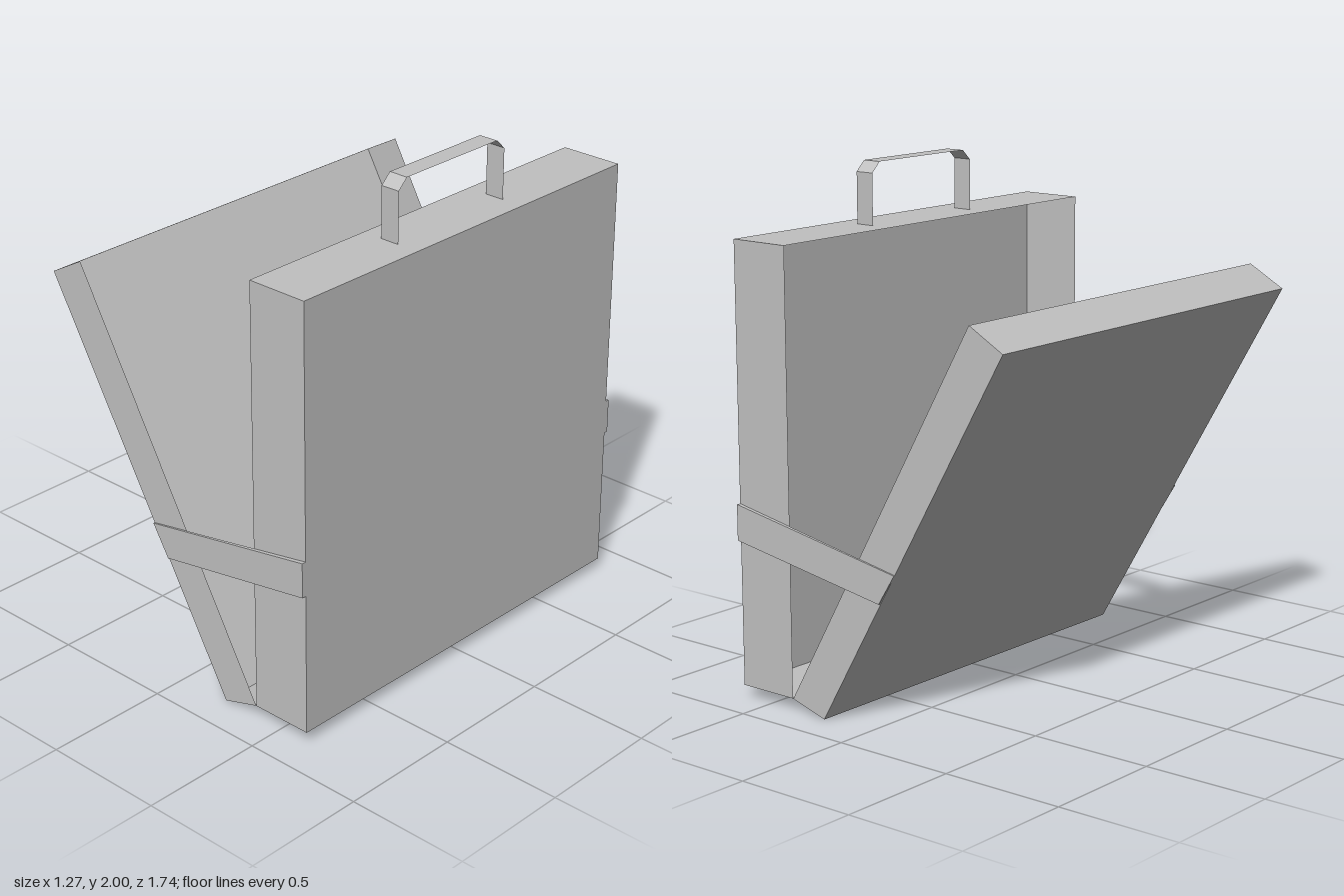
import * as THREE from 'three';

const HALF = 0.855; // half length of the case along z

// Open sheet following a path in xy, swept from -half to +half in z.
// With caps, the (convex) path also gets flat end walls.
function sheet(path, half, caps) {
  const pos = [];
  const quad = (a, b, c, d) => pos.push(...a, ...b, ...c, ...a, ...c, ...d);
  for (let i = 0; i < path.length - 1; i++) {
    const [a, b] = [path[i], path[i + 1]];
    quad([...a, -half], [...b, -half], [...b, half], [...a, half]);
  }
  if (caps) {
    quad(...path.map(p => [...p, half]));
    quad(...path.map(p => [...p, -half]).reverse());
  }
  const geo = new THREE.BufferGeometry();
  geo.setAttribute('position', new THREE.Float32BufferAttribute(pos, 3));
  geo.computeVertexNormals();
  return geo;
}

export function createModel() {
  const group = new THREE.Group();
  const grey = new THREE.MeshStandardMaterial({ color: 0xc0c0c0, side: THREE.DoubleSide });
  grey.name = 'light grey';

  const add = (name, geo) => {
    const mesh = new THREE.Mesh(geo, grey);
    mesh.name = name;
    group.add(mesh);
    return mesh;
  };

  // Upright half of the case, hollow and open towards the lid
  add('caseBody', sheet([[0.38, 0.047], [0.635, 0.047], [0.635, 1.76], [0.38, 1.76]], HALF, true));

  // Tilted lid, hollow and open towards the body
  add('lid', sheet([[-0.49, 1.57], [-0.64, 1.487], [0.22, 0], [0.378, 0.047]], HALF, true));

  // Carrying handle: a thin bent band with chamfered corners
  const handle = sheet([[0.285, 0], [0.285, 0.2], [0.243, 0.24],
    [-0.243, 0.24], [-0.285, 0.2], [-0.285, 0]], 0.04, false);
  handle.rotateY(Math.PI / 2);
  add('handle', handle).position.set(0.505, 1.76, 0);

  // Stay straps on both ends, slightly thicker towards the body
  const outline = [[-0.065, 0.5], [0.635, 0.62], [0.635, 0.76], [-0.14, 0.62]];
  const shape = new THREE.Shape(outline.map(p => new THREE.Vector2(...p)));
  const strap = new THREE.ExtrudeGeometry(shape, { depth: 1, bevelEnabled: false });
  const p = strap.attributes.position;
  for (let i = 0; i < p.count; i++) {
    const thickness = 0.006 + 0.011 * (p.getX(i) + 0.14) / 0.775;
    p.setZ(i, HALF + p.getZ(i) * thickness);
  }
  strap.computeVertexNormals();
  add('frontStrap', strap);
  add('backStrap', strap).scale.z = -1;

  return group;
}
